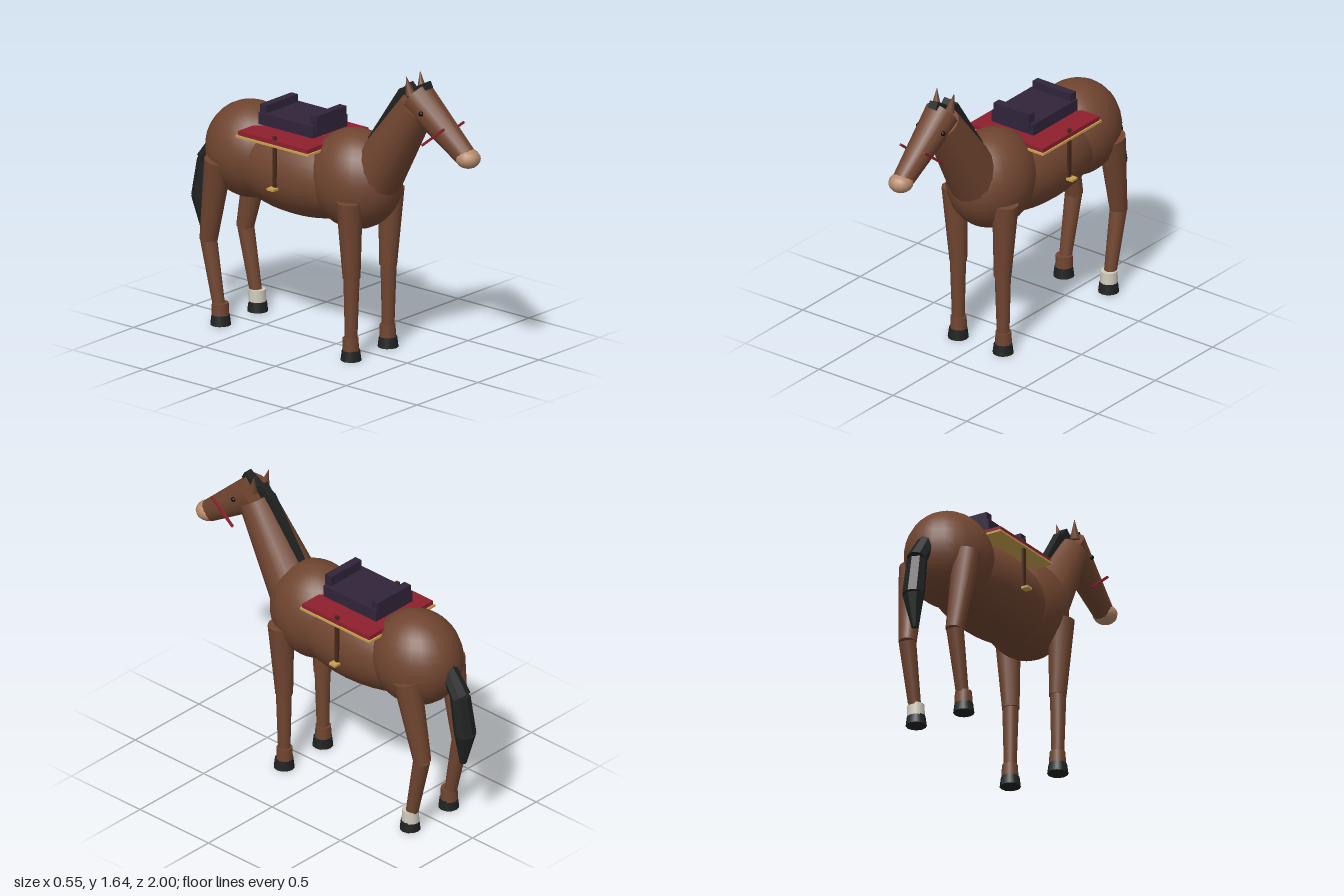
import * as THREE from 'three';

const mat = (name, color) => Object.assign(new THREE.MeshStandardMaterial({ color }), { name });

export function createModel() {
  const group = new THREE.Group();
  group.name = 'saddledHorse';

  const coat = mat('brown coat', 0x704530);
  const black = mat('black hair and hoof', 0x202222);
  const nose = mat('pale muzzle', 0xb58a6c);
  const white = mat('white sock', 0xcfcabc);
  const red = mat('red cloth', 0x8e1f2e);
  const gold = mat('gold trim', 0xc9a250);
  const seat = mat('dark purple leather', 0x30243a);
  const strap = mat('dark brown strap', 0x46291a);
  const eyeMat = mat('black eye', 0x0c0c0c);

  const add = (name, geo, material, x = 0, y = 0, z = 0) => {
    const m = new THREE.Mesh(geo, material);
    m.name = name;
    m.position.set(x, y, z);
    group.add(m);
    return m;
  };
  const box = (name, material, w, h, d, x, y, z) =>
    add(name, new THREE.BoxGeometry(w, h, d), material, x, y, z);
  const ball = (name, material, rx, ry, rz, x, y, z, n = 24) => {
    const geo = new THREE.SphereGeometry(1, n, Math.round(n * 0.7));
    geo.scale(rx, ry, rz);
    return add(name, geo, material, x, y, z);
  };
  // Tapered limb from point a (radius ra) to point b (radius rb)
  const limb = (name, material, a, ra, b, rb, sides = 12, widthScale = 1) => {
    const va = new THREE.Vector3(...a), vb = new THREE.Vector3(...b);
    const dir = vb.clone().sub(va);
    const geo = new THREE.CylinderGeometry(rb, ra, dir.length(), sides);
    geo.scale(widthScale, 1, 1);
    const m = add(name, geo, material);
    m.position.copy(va).add(vb).multiplyScalar(0.5);
    m.quaternion.setFromUnitVectors(new THREE.Vector3(0, 1, 0), dir.normalize());
    return m;
  };

  // Body
  ball('barrel', coat, 0.235, 0.24, 0.52, 0, 0.93, -0.22);
  ball('chest', coat, 0.23, 0.277, 0.27, 0, 0.967, 0.14);
  ball('rump', coat, 0.235, 0.267, 0.265, 0, 0.975, -0.595);

  // Neck and head
  limb('neck', coat, [0, 1.0, 0.27], 0.155, [0, 1.47, 0.58], 0.1, 16);
  limb('head', coat, [0, 1.52, 0.57], 0.104, [0, 1.255, 0.917], 0.062, 14, 0.9);
  ball('muzzle', nose, 0.067, 0.055, 0.07, 0, 1.25, 0.93, 14);

  // Mane blocks along the crest, then poll and forelock
  const neckTilt = Math.atan2(0.31, 0.47);
  for (let i = 0; i < 7; i++) {
    const t = i / 6;
    const m = box('maneBlock', black, 0.042, 0.085, 0.055,
      0, 1.215 + 0.28 * t, 0.27 + 0.19 * t);
    m.rotation.x = neckTilt;
  }
  const poll = box('pollMane', black, 0.046, 0.1, 0.06, 0, 1.535, 0.51);
  poll.rotation.x = 0.75;
  const forelock = box('forelock', black, 0.052, 0.04, 0.11, 0, 1.575, 0.605);
  forelock.rotation.x = -0.5;

  // Tail in three joined lengths
  const tail = [
    [[0, 1.0, -0.815], 0.043, [0, 0.853, -0.915], 0.052],
    [[0, 0.848, -0.91], 0.052, [0, 0.635, -0.946], 0.056],
    [[0, 0.635, -0.946], 0.056, [0, 0.447, -0.932], 0.017],
  ];
  const tailMat = black.clone();
  tailMat.flatShading = true;
  for (const [a, ra, b, rb] of tail) limb('tail', tailMat, a, ra, b, rb, 8, 1.15);

  for (const s of [1, -1]) {
    // Face details
    const ear = limb('ear', coat, [s * 0.046, 1.54, 0.565], 0.028, [s * 0.058, 1.643, 0.542], 0.001, 8);
    ear.name = 'ear';
    ball('eye', eyeMat, 0.012, 0.014, 0.014, s * 0.084, 1.464, 0.67, 10);
    const cheek = box('bridleStrap', red, 0.012, 0.012, 0.197, s * 0.081, 1.35, 0.753);
    cheek.rotation.x = -0.675;

    // Front leg
    limb('frontUpperLeg', coat, [s * 0.172, 0.9, 0.24], 0.072, [s * 0.15, 0.46, 0.237], 0.048);
    limb('frontLowerLeg', coat, [s * 0.152, 0.46, 0.238], 0.044, [s * 0.152, 0.1, 0.235], 0.034);
    limb('frontFetlock', coat, [s * 0.152, 0.05, 0.232], 0.046, [s * 0.152, 0.125, 0.232], 0.043);
    limb('frontHoof', black, [s * 0.152, 0, 0.235], 0.057, [s * 0.152, 0.056, 0.235], 0.05);

    // Hind leg; only the left one wears a white sock
    limb('hindUpperLeg', coat, [s * 0.172, 0.935, -0.683], 0.078, [s * 0.15, 0.457, -0.773], 0.049);
    limb('hindLowerLeg', coat, [s * 0.152, 0.46, -0.77], 0.047, [s * 0.152, 0.1, -0.697], 0.034);
    limb('hindFetlock', s > 0 ? white : coat, [s * 0.152, 0.05, -0.688], 0.049, [s * 0.152, 0.122, -0.688], 0.046);
    limb('hindHoof', black, [s * 0.152, 0, -0.685], 0.057, [s * 0.152, 0.056, -0.685], 0.05);

    // Stirrup
    box('stirrupStrap', strap, 0.014, 0.29, 0.022, s * 0.238, 1.035, -0.23);
    box('stirrup', gold, 0.042, 0.013, 0.046, s * 0.256, 0.887, -0.23);
  }

  // Blanket and saddle
  box('blanketTrim', gold, 0.516, 0.012, 0.51, 0, 1.13, -0.233);
  box('blanket', red, 0.5, 0.024, 0.49, 0, 1.148, -0.233);
  box('saddleSeat', seat, 0.285, 0.066, 0.385, 0, 1.217, -0.235);
  box('pommel', seat, 0.24, 0.095, 0.046, 0, 1.258, -0.055);
  box('cantle', seat, 0.26, 0.075, 0.046, 0, 1.255, -0.405);

  return group;
}
